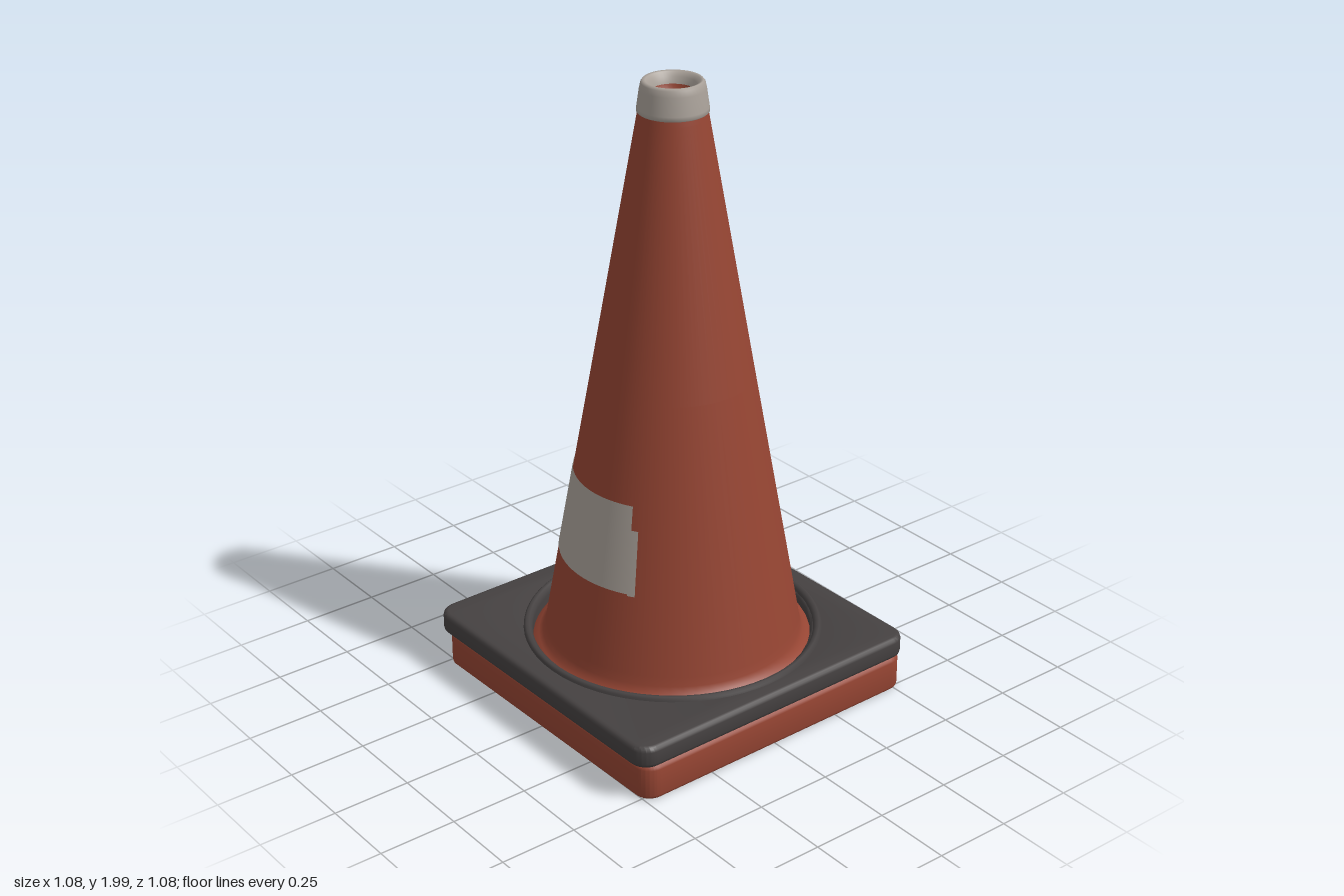
import * as THREE from 'three';
import { toCreasedNormals } from 'three/addons/utils/BufferGeometryUtils.js';

const make = (name, color, side = THREE.FrontSide) => {
  const m = new THREE.MeshStandardMaterial({ color, side });
  m.name = name;
  return m;
};
const V = (x, y) => new THREE.Vector2(x, y);
const rad = THREE.MathUtils.degToRad;

// Square outline with rounded corners, h = half side, r = corner radius
function roundedSquare(h, r, Type = THREE.Shape) {
  const s = new Type();
  const c = h - r;
  s.absarc(c, c, r, 0, Math.PI / 2);
  s.absarc(-c, c, r, Math.PI / 2, Math.PI);
  s.absarc(-c, -c, r, Math.PI, Math.PI * 1.5);
  s.absarc(c, -c, r, Math.PI * 1.5, Math.PI * 2);
  s.closePath();
  return s;
}

// Horizontal slab between two heights with softened edges
function slab(shape, y0, y1, bevel) {
  const g = new THREE.ExtrudeGeometry(shape, {
    depth: y1 - y0 - 2 * bevel, bevelEnabled: bevel > 0, bevelThickness: bevel,
    bevelSize: bevel, bevelOffset: -bevel, bevelSegments: 3, curveSegments: 20,
  });
  g.rotateX(-Math.PI / 2);
  g.translate(0, y0 + bevel, 0);
  return toCreasedNormals(g, 0.7);
}

export function createModel() {
  const orange = make('orange rubber', 0x964533);
  const dark = make('dark rubber', 0x454141);
  const pale = make('pale grey', 0xa9a199, THREE.DoubleSide);
  const model = new THREE.Group();
  model.name = 'trafficCone';

  const add = (name, geo, mat, parent) => {
    const mesh = new THREE.Mesh(geo, mat);
    mesh.name = name;
    parent.add(mesh);
    return mesh;
  };

  // Square base, turned very slightly
  const base = new THREE.Group();
  base.name = 'base';
  base.rotation.y = 0.012;
  model.add(base);

  const plate = roundedSquare(0.534, 0.06);
  plate.holes.push(new THREE.Path().absarc(0, 0, 0.445, 0, Math.PI * 2, true));
  add('basePlate', slab(plate, 0.128, 0.2, 0.016), dark, base);

  // Hollow skirt under the plate, with its ceiling and corner feet
  const skirtGroup = new THREE.Group();
  skirtGroup.name = 'lowerBase';
  skirtGroup.position.set(0.008, 0, 0.004);
  base.add(skirtGroup);
  const skirt = roundedSquare(0.522, 0.055);
  skirt.holes.push(roundedSquare(0.475, 0.04, THREE.Path));
  add('skirt', slab(skirt, 0.008, 0.124, 0.014), orange, skirtGroup);
  const ceiling = roundedSquare(0.5, 0.05);
  ceiling.holes.push(new THREE.Path().absarc(0, 0, 0.405, 0, Math.PI * 2, true));
  add('skirtCeiling', slab(ceiling, 0.1, 0.129, 0), orange, skirtGroup);
  for (let i = 0; i < 4; i++) {
    const foot = new THREE.CapsuleGeometry(0.058, 0.17, 8, 20);
    foot.rotateZ(Math.PI / 2);
    foot.translate(0.545, 0.07, 0);
    foot.rotateY(Math.PI / 4 + i * Math.PI / 2);
    add('cornerFoot', foot, orange, skirtGroup);
  }

  // Tapered body
  const cone = new THREE.Group();
  cone.name = 'cone';
  cone.position.set(0.004, 0, 0.008);
  model.add(cone);

  add('collarRing', new THREE.LatheGeometry([
    V(0.475, 0.19), V(0.472, 0.207), V(0.465, 0.213), V(0.455, 0.212),
    V(0.447, 0.204), V(0.444, 0.19), V(0.443, 0.13),
  ], 64), dark, cone);

  add('coneBody', new THREE.LatheGeometry([
    V(0.45, 0.155), V(0.44, 0.168), V(0.425, 0.178), V(0.412, 0.19), V(0.404, 0.21),
    V(0.399, 0.24), V(0.25, 1.075), V(0.106, 1.89), V(0.1, 1.92),
  ], 64), orange, cone);

  add('coneInside', new THREE.LatheGeometry([
    V(0, 1.88), V(0.085, 1.88), V(0.09, 1.87), V(0.375, 0.22), V(0.385, 0.18),
    V(0.4, 0.13), V(0.415, 0.1),
  ], 64), orange, cone);

  // Pale tip and the recessed plug inside it
  add('tip', new THREE.LatheGeometry([
    V(0.1, 1.902), V(0.107, 1.908), V(0.106, 1.92), V(0.098, 1.975), V(0.094, 1.993),
    V(0.088, 2), V(0.08, 1.998), V(0.07, 1.985), V(0.064, 1.965),
  ], 48), pale, cone);
  add('tipPlug', new THREE.LatheGeometry([
    V(0.066, 1.968), V(0.06, 1.945), V(0.05, 1.935), V(0, 1.932),
  ], 32), orange, cone);

  // Worn reflective strip: thin pieces lying on the cone surface
  const radiusAt = (y) => 0.399 - (y - 0.24) * 0.1776 + 0.002;
  const strip = (name, y0, y1, from, to) => add(name, new THREE.LatheGeometry(
    [V(radiusAt(y0), y0), V(radiusAt(y1), y1)], 32, rad(from), rad(to - from)), pale, cone);
  strip('reflectiveStrip', 0.49, 0.765, 206, 299);
  strip('reflectiveStripBackEnd', 0.52, 0.75, 204, 206);
  strip('reflectiveStripBackTip', 0.68, 0.745, 201, 204);
  strip('reflectiveStripFrontEnd', 0.485, 0.69, 299, 303);
  strip('reflectiveFleck', 0.5, 0.61, 88.5, 91);

  return model;
}
